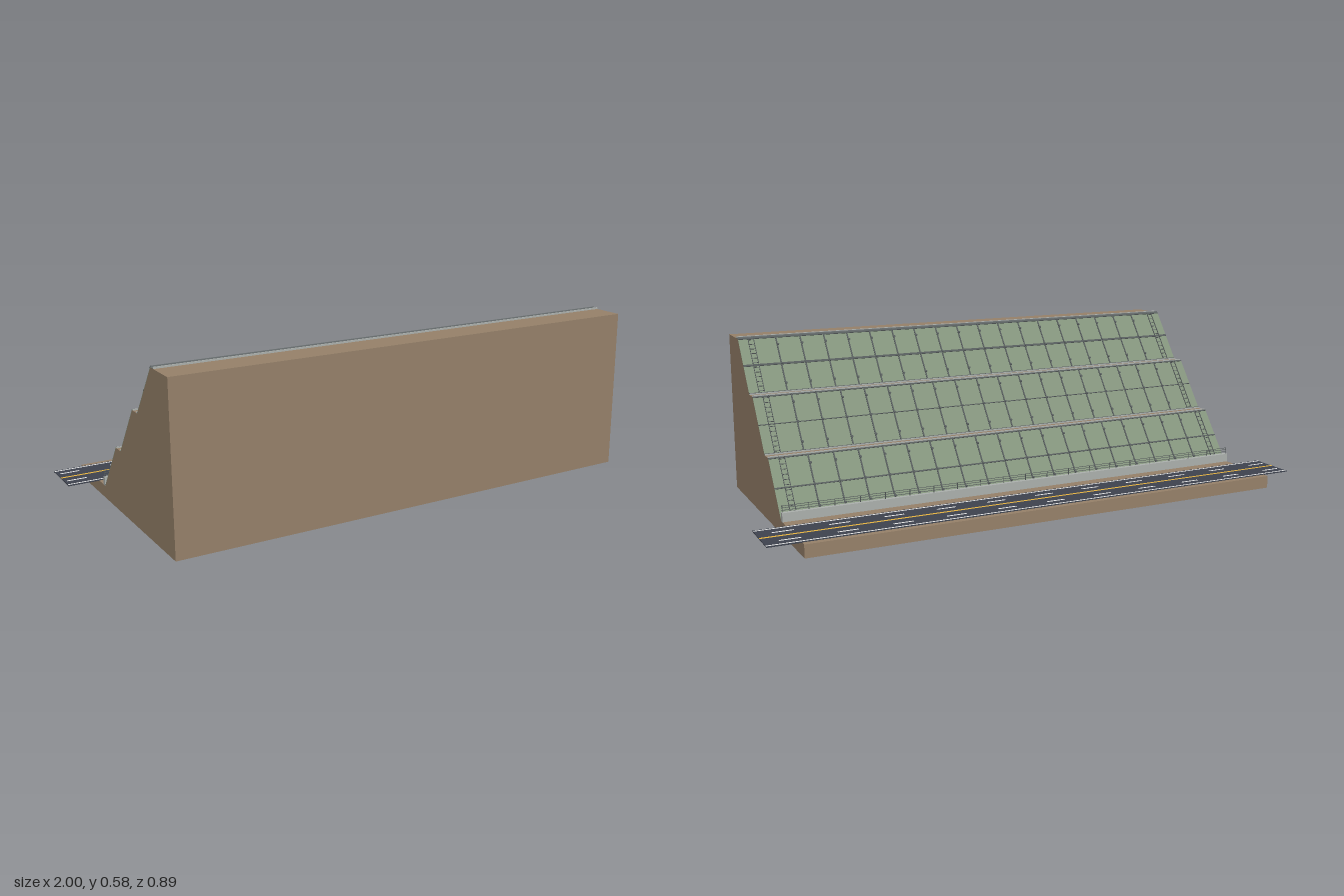
import * as THREE from 'three';

const mat = (name, color) => Object.assign(new THREE.MeshStandardMaterial({ color }), { name });

export function createModel() {
  const earth = mat('earth', 0x947f68);
  const netting = mat('netting', 0x83937c);
  const steel = mat('dark steel', 0x555b5b);
  const concrete = mat('concrete', 0xaaaeab);
  const channelGrey = mat('channel grey', 0x6e7475);
  const asphalt = mat('asphalt', 0x3d424d);
  const white = mat('white paint', 0xf4f4f4);
  const yellow = mat('yellow paint', 0xe8b440);

  const model = new THREE.Group();
  model.name = 'terracedSlopeWithRoad';
  const halfLength = 0.89;
  const length = halfLength * 2;

  const unitBox = new THREE.BoxGeometry(1, 1, 1);
  const box = (parent, name, material, size, position) => {
    const mesh = new THREE.Mesh(unitBox, material);
    mesh.name = name;
    mesh.scale.set(...size);
    mesh.position.set(...position);
    parent.add(mesh);
  };

  // Terraced hillside, profile given as (z, y)
  const profile = [
    [-0.445, 0], [0.445, 0], [0.445, 0.578], [0.312, 0.578], [0.178, 0.4], [0.132, 0.4],
    [0, 0.224], [-0.046, 0.224], [-0.182, 0.045], [-0.445, 0.045],
  ];
  const hillGeometry = new THREE.ExtrudeGeometry(
    new THREE.Shape(profile.map(([z, y]) => new THREE.Vector2(z, y))),
    { depth: length, bevelEnabled: false });
  hillGeometry.translate(0, 0, -halfLength).rotateY(-Math.PI / 2);
  const hill = new THREE.Mesh(hillGeometry, earth);
  hill.name = 'hillside';
  model.add(hill);

  // Netted slope faces; local y runs uphill and local z points out of the slope
  const boltGeometry = new THREE.CylinderGeometry(0.004, 0.004, 0.003, 8).rotateX(Math.PI / 2);
  const slopes = [
    [-0.182, 0.045, -0.046, 0.224, 0.005],
    [0, 0.224, 0.132, 0.4, 0.003],
    [0.178, 0.4, 0.312, 0.578, 0.008],
  ];
  slopes.forEach(([z0, y0, z1, y1, middleWidth], index) => {
    const run = Math.hypot(z1 - z0, y1 - y0);
    const dy = (y1 - y0) / run, dz = (z1 - z0) / run;
    const slope = new THREE.Group();
    slope.name = `nettedSlope${index + 1}`;
    slope.matrix.makeBasis(
      new THREE.Vector3(-1, 0, 0), new THREE.Vector3(0, dy, dz), new THREE.Vector3(0, dz, -dy),
    ).setPosition(0, y0, z0);
    slope.matrix.decompose(slope.position, slope.quaternion, slope.scale);
    model.add(slope);

    box(slope, 'netPanel', netting, [length, run, 0.002], [0, run / 2, 0.001]);

    // Horizontal cables along the edges and the middle
    for (const [f, width] of [[0.01, 0.003], [0.5, middleWidth], [0.985, 0.005]]) {
      box(slope, 'horizontalCable', steel, [length, width, 0.002], [0, run * f, 0.003]);
    }
    // Vertical cables with anchor bolts
    for (let i = 0; i < 18; i++) {
      const x = (i - 8.5) * 0.0888;
      box(slope, 'verticalCable', steel, [0.005, run, 0.002], [x, run / 2, 0.003]);
      for (const f of [0.15, 0.5, 0.85]) {
        const bolt = new THREE.Mesh(boltGeometry, steel);
        bolt.name = 'anchorBolt';
        bolt.position.set(x + 0.003, run * f, 0.005);
        slope.add(bolt);
      }
    }
    // Access ladders near both ends
    for (const side of [-1, 1]) {
      const x = side * 0.845;
      for (const d of [-0.01, 0.01]) {
        box(slope, 'ladderRail', steel, [0.002, run, 0.003], [x + d, run / 2, 0.0035]);
      }
      for (let i = 0; i < 12; i++) {
        box(slope, 'ladderRung', steel, [0.02, 0.002, 0.002], [x, run * (i + 0.5) / 12, 0.004]);
      }
    }
  });

  // Drainage kerbs along both edges of each terrace
  for (const [z, y] of [[-0.04, 0.224], [-0.006, 0.224], [0.138, 0.4], [0.171, 0.4]]) {
    box(model, 'terraceKerb', concrete, [length, 0.004, 0.004], [0, y + 0.002, z]);
  }
  // Crest channel
  box(model, 'crestChannelFloor', channelGrey, [length, 0.002, 0.02], [0, 0.579, 0.324]);
  box(model, 'crestChannelOuterLip', channelGrey, [length, 0.006, 0.003], [0, 0.581, 0.314]);
  box(model, 'crestChannelInnerLip', concrete, [length, 0.006, 0.004], [0, 0.581, 0.333]);

  // Catch wall with a light fence at the foot of the slope
  box(model, 'catchWall', concrete, [length, 0.031, 0.015], [0, 0.06, -0.192]);
  for (let i = 0; i <= 20; i++) {
    box(model, 'fencePost', steel, [0.002, 0.024, 0.002], [(i / 10 - 1) * (halfLength - 0.003), 0.087, -0.191]);
  }
  for (const y of [0.083, 0.091, 0.098]) {
    box(model, 'fenceRail', steel, [length, 0.0015, 0.0015], [0, y, -0.191]);
  }

  // Road with painted lane markings
  box(model, 'road', asphalt, [2, 0.003, 0.176], [0, 0.0455, -0.335]);
  const paint = (name, material, size, x, z) =>
    box(model, name, material, [size[0], 0.0006, size[1]], [x, 0.0473, z]);
  for (const z of [-0.414, -0.256]) paint('edgeLine', white, [2, 0.006], 0, z);
  paint('centreLine', yellow, [2, 0.009], 0, -0.335);
  for (const z of [-0.38, -0.295]) {
    for (let i = 0; i < 11; i++) paint('laneDash', white, [0.07, 0.007], -0.955 + i * 0.187, z);
  }
  return model;
}
